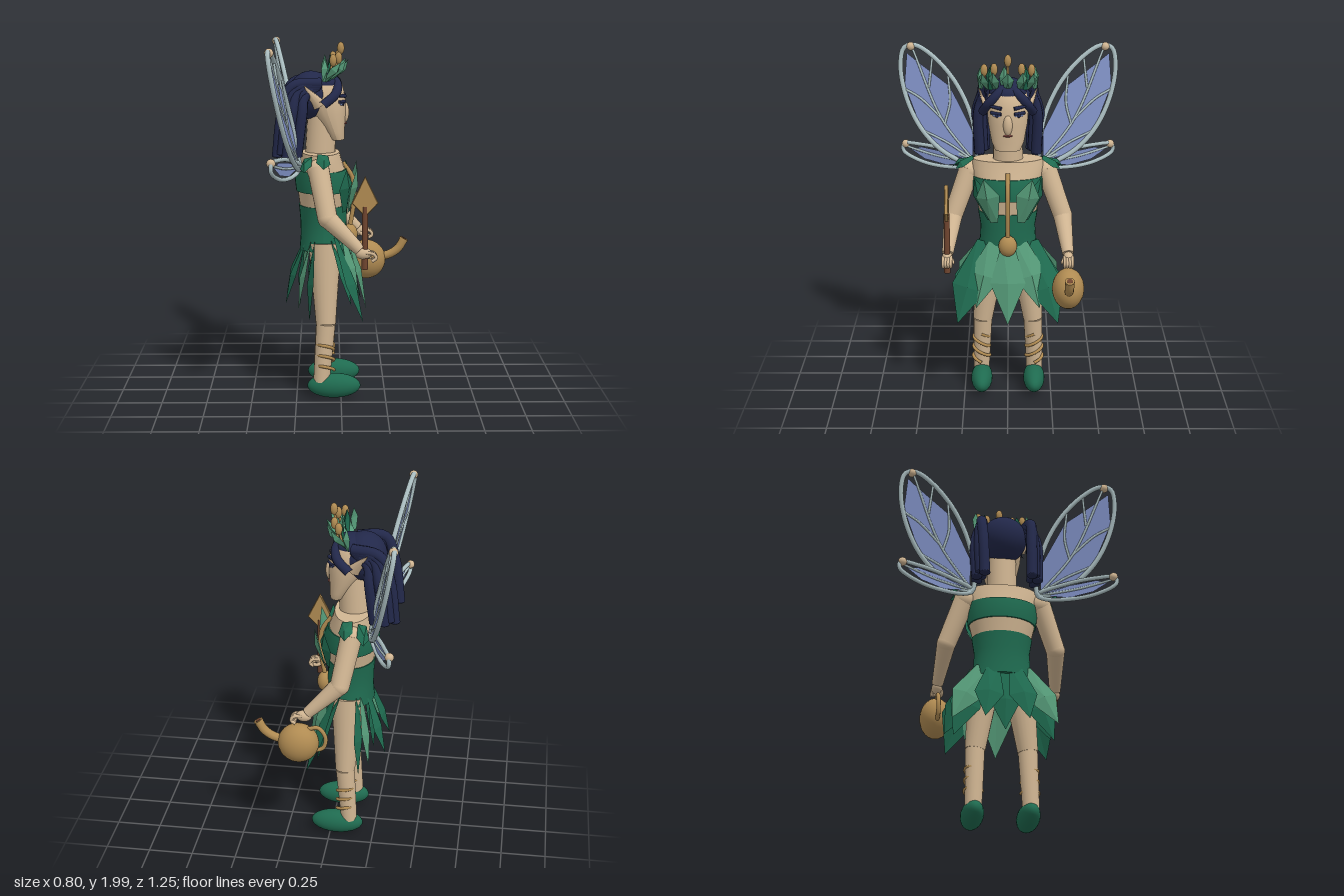
import * as THREE from 'three';

const mat = (name, color, side = THREE.FrontSide) => {
  const m = new THREE.MeshStandardMaterial({ color, side });
  m.name = name;
  return m;
};
const V = (x, y, z) => new THREE.Vector3(x, y, z);

export function createModel() {
  const skin = mat('skin', 0xd0b592), navy = mat('hair navy', 0x22284a), gold = mat('gold', 0xb08b52);
  const green = mat('deep green', 0x1f6b50), leafGreen = mat('leaf green', 0x559a78);
  const brown = mat('wood brown', 0x70452f), lip = mat('lip', 0x8a4a45);
  const frame = mat('wing frame', 0xa9bcbf), film = mat('wing film', 0x7f90c4, THREE.DoubleSide);
  const model = new THREE.Group();

  const add = (name, geo, m) => {
    const mesh = new THREE.Mesh(geo, m);
    mesh.name = name;
    model.add(mesh);
    return mesh;
  };
  const ball = (name, m, p, r) => {
    const b = add(name, new THREE.SphereGeometry(1, 24, 16), m);
    b.position.set(...p);
    b.scale.set(...r);
    return b;
  };
  // tapered round bar from a (radius ra) to b (radius rb)
  const limb = (name, m, a, b, ra, rb, seg = 20) => {
    const A = V(...a), B = V(...b), d = B.clone().sub(A);
    const c = add(name, new THREE.CylinderGeometry(rb, ra, d.length(), seg), m);
    c.position.copy(A).add(B).multiplyScalar(0.5);
    c.quaternion.setFromUnitVectors(V(0, 1, 0), d.normalize());
    return c;
  };
  const tube = (name, m, pts, r, n = 24, closed = false) => add(name, new THREE.TubeGeometry(
    new THREE.CatmullRomCurve3(pts.map(p => V(...p)), closed), n, r, 10, closed), m);
  // stack of elliptical rings, bottom to top: [y, centre x, radius x, radius z]
  const loft = (name, m, rings, seg = 28) => {
    const n = rings.length - 1, geo = new THREE.CylinderGeometry(1, 1, 1, seg, n), p = geo.attributes.position;
    for (let i = 0; i < p.count; i++) {
      const [y, cx, rx, rz] = rings[Math.round((p.getY(i) + 0.5) * n)];
      p.setXYZ(i, cx + p.getX(i) * rx, y, p.getZ(i) * rz);
    }
    geo.computeVertexNormals();
    return add(name, geo, m);
  };
  // folded, faceted leaf from base to tip, bulging towards 'out'
  const leaf = (name, m, base, tip, w, out, wide = 0.55, neck = 0.35, fold = 0.025) => {
    const B = V(...base), Y = V(...tip).sub(B), len = Y.length();
    Y.normalize();
    const X = Y.clone().cross(V(...out)).normalize(), Z = X.clone().cross(Y);
    const at = (u, v, d) => B.clone().addScaledVector(X, u).addScaledVector(Y, v * len).addScaledVector(Z, d);
    const rim = [at(-w * neck, 0, 0), at(w * neck, 0, 0), at(w, wide, 0), at(0, 1, 0), at(-w, wide, 0)];
    const f = at(0, wide, fold), b = at(0, wide, fold - 0.018), tris = [];
    rim.forEach((p, i) => {
      const q = rim[(i + 1) % 5];
      tris.push(p, q, f, q, p, b);
    });
    const geo = new THREE.BufferGeometry().setFromPoints(tris);
    geo.computeVertexNormals();
    return add(name, geo, m);
  };

  // Torso in bands of skin and cloth
  loft('hips', green, [[0.84, -0.1, 0.132, 0.17], [0.92, -0.097, 0.128, 0.16], [1.0, -0.097, 0.13, 0.155], [1.09, -0.1, 0.135, 0.17]]);
  loft('midriff', skin, [[1.09, -0.1, 0.13, 0.165], [1.18, -0.1, 0.143, 0.187]]);
  loft('chestBand', green, [[1.17, -0.1, 0.15, 0.192], [1.23, -0.102, 0.155, 0.2], [1.29, -0.107, 0.138, 0.2]]);
  loft('shoulders', skin, [[1.29, -0.107, 0.13, 0.198], [1.34, -0.11, 0.115, 0.205], [1.385, -0.112, 0.105, 0.195]]);

  // Neck, head and face
  limb('neck', skin, [-0.115, 1.36, 0], [-0.105, 1.6, 0], 0.085, 0.08);
  loft('head', skin, [[1.455, -0.02, 0.04, 0.07], [1.5, -0.035, 0.056, 0.09], [1.6, -0.07, 0.098, 0.11],
    [1.68, -0.09, 0.118, 0.117], [1.76, -0.1, 0.11, 0.105], [1.81, -0.11, 0.06, 0.06]]);
  ball('nose', skin, [0.022, 1.605, 0], [0.024, 0.058, 0.026]);
  ball('mouth', lip, [0.022, 1.545, 0], [0.012, 0.007, 0.026]);
  for (const s of [1, -1]) {
    const eye = ball('eye', film, [0.008, 1.66, s * 0.06], [0.006, 0.012, 0.03]);
    eye.rotation.y = -s * 0.45;
    limb('eyelid', navy, [0.022, 1.668, s * 0.035], [-0.008, 1.67, s * 0.093], 0.009, 0.009, 8);
    ball('pupil', navy, [0.013, 1.658, s * 0.06], [0.006, 0.012, 0.011]);
    limb('eyebrow', navy, [0.022, 1.698, s * 0.035], [-0.012, 1.705, s * 0.095], 0.011, 0.008, 8);
    const ear = limb('ear', skin, [-0.12, 1.655, s * 0.105], [-0.2, 1.765, s * 0.165], 0.04, 0.002, 10);
    ear.scale.z = 0.7;
  }

  // Hair: cap, crown of the head, parted fringe and two bunches of strands
  ball('hairCap', navy, [-0.165, 1.7, 0], [0.128, 0.135, 0.132]);
  ball('hairTop', navy, [-0.1, 1.765, 0], [0.105, 0.06, 0.105]);
  for (const s of [1, -1]) {
    tube('fringe', navy, [[-0.06, 1.805, s * 0.01], [-0.02, 1.765, s * 0.06], [-0.03, 1.715, s * 0.105], [-0.1, 1.655, s * 0.14]], 0.026);
    for (let i = 0; i < 5; i++) {
      const ex = -0.35 + i * 0.027, ez = s * (0.132 + 0.04 * ((i * 2) % 5) / 4);
      const y = 1.38 + (i % 2) * 0.015;
      tube('hairStrand', navy, [[-0.11 - 0.01 * i, 1.775 - i * 0.01, s * 0.1], [ex * 0.55 - 0.07, 1.76 - i * 0.015, s * 0.14],
        [ex + 0.03, 1.62, ez + s * 0.005], [ex, y, ez]], 0.03);
      ball('strandEnd', navy, [ex, y, ez], [0.03, 0.012, 0.03]);
    }
  }

  // Crown of leaves with golden buds
  [[0, 0, 1.96], [0.075, -0.013, 1.91], [0.13, -0.043, 1.9]].forEach(([z, x, y], i) => {
    for (const s of i ? [1, -1] : [1]) {
      const out = [1, 0, s * z * 6], top = Math.min(y, 1.91);
      leaf('crownLeaf', leafGreen, [x - 0.045, 1.785, s * z * 0.92], [x + 0.042, top - 0.01, s * z * 1.08], 0.034, out, 0.6, 0.4);
      leaf('crownBackLeaf', i === 1 ? green : leafGreen, [x - 0.05, 1.785, s * (z + 0.02)], [x - 0.045, top + 0.015, s * (z + 0.02)], 0.028, out, 0.55, 0.5);
      limb('budStem', gold, [x - 0.02, 1.82, s * z], [x, y, s * z], 0.007, 0.007, 8);
      ball('bud', gold, [x, y, s * z], [0.02, 0.034, 0.02]);
    }
  });

  // Legs, wraps and slippers
  for (const s of [1, -1]) {
    limb('thigh', skin, [-0.085, 0.43, s * 0.145], [-0.09, 0.88, s * 0.09], 0.056, 0.092);
    limb('shin', skin, [-0.11, 0.1, s * 0.155], [-0.085, 0.43, s * 0.145], 0.046, 0.054);
    ball('slipper', green, [-0.04, 0.075, s * 0.152], [0.15, 0.07, 0.062]);
    const wrap = [];
    for (let i = 0; i <= 36; i++) {
      const t = i / 36, a = t * Math.PI * 6, r = 0.049 - 0.004 * t;
      wrap.push([-0.088 + r * Math.cos(a), 0.165 + 0.18 * t + 0.015 * Math.sin(a), s * (0.153 + r * Math.sin(a))]);
    }
    tube('ankleWrap', gold, wrap, 0.009, 110);
  }

  // Skirt: broad petals fanned out in front, narrower ones behind
  leaf('frontPetal', leafGreen, [0.03, 0.935, 0], [0.145, 0.475, 0], 0.1, [1, 0.3, 0], 0.5, 0.3, 0.03);
  for (const s of [1, -1]) {
    leaf('innerPetal', leafGreen, [0.01, 0.92, s * 0.08], [0.1, 0.56, s * 0.18], 0.09, [1, 0.2, s * 0.25], 0.5, 0.35, 0.03);
    leaf('outerPetal', green, [-0.03, 0.92, s * 0.14], [0.12, 0.475, s * 0.285], 0.1, [1, 0.3, s * 0.25], 0.57, 0.35, 0.03);
    leaf('hipPetal', green, [-0.05, 0.9, s * 0.145], [0.055, 0.57, s * 0.3], 0.07, [1, 0.2, s * 0.2], 0.6, 0.4);
    leaf('rearSidePetal', green, [-0.15, 0.89, s * 0.13], [-0.175, 0.475, s * 0.275], 0.085, [-1, 0, s * 0.15], 0.55, 0.4);
    leaf('rearSidePetal', leafGreen, [-0.17, 0.89, s * 0.12], [-0.235, 0.55, s * 0.29], 0.08, [-1, 0, s * 0.15], 0.55, 0.4);
    leaf('rearPetal', green, [-0.2, 0.89, s * 0.06], [-0.31, 0.54, s * 0.12], 0.08, [-1, 0.1, s * 0.1], 0.55, 0.4);
  }
  leaf('rearPetal', green, [-0.2, 0.89, 0], [-0.23, 0.5, 0], 0.085, [-1, 0.1, 0], 0.55, 0.4);

  // Bodice and shoulder leaves
  for (const s of [1, -1]) {
    leaf('bodiceLeaf', leafGreen, [0.04, 1.05, s * 0.075], [0.09, 1.315, s * 0.135], 0.07, [1, 0.1, s * 0.3], 0.6, 0.3);
    leaf('bodiceLeaf', green, [0.02, 1.06, s * 0.1], [0.03, 1.31, s * 0.185], 0.058, [1, 0, s * 0.8], 0.6, 0.3);
    leaf('shoulderLeaf', green, [-0.1, 1.392, s * 0.195], [-0.095, 1.325, s * 0.295], 0.04, [0.2, 1, s * 0.3], 0.6, 0.7);
    leaf('shoulderLeaf', green, [-0.18, 1.375, s * 0.19], [-0.2, 1.31, s * 0.315], 0.035, [-0.4, 1, s * 0.3], 0.65, 0.7);
  }
  tube('pendantStem', gold, [[0.01, 1.325, 0], [0.065, 1.24, 0], [0.075, 1.12, 0], [0.05, 0.95, 0]], 0.013);
  ball('pendant', gold, [0.05, 0.915, 0], [0.045, 0.06, 0.052]);

  // Arms and hands
  for (const s of [1, -1]) {
    ball('shoulder', skin, [-0.125, 1.31, s * 0.215], [0.062, 0.06, 0.06]);
    limb('upperArm', skin, [-0.125, 1.32, s * 0.215], [-0.075, 1.06, s * 0.31], 0.06, 0.054);
    ball('elbow', skin, [-0.075, 1.06, s * 0.31], [0.054, 0.054, 0.054]);
    limb('forearm', skin, [-0.075, 1.06, s * 0.31], [0.1, 0.89, s * 0.336], 0.053, 0.032);
    ball('palm', skin, [0.12, 0.872, s * 0.338], [0.045, 0.032, 0.03]);
    for (let i = 0; i < 4; i++) {
      const z = s * (0.317 + i * 0.014);
      tube('finger', skin, [[0.13, 0.88, z], [0.175, 0.872, z], [0.188, 0.85, z], [0.165, 0.832, z]], 0.0095, 12);
    }
    tube('thumb', skin, [[0.11, 0.87, s * 0.32], [0.135, 0.85, s * 0.308], [0.165, 0.845, s * 0.312]], 0.011, 10);
  }

  // Wand with a flat diamond head
  limb('wandRod', brown, [0.128, 0.785, 0.338], [0.128, 1.13, 0.338], 0.018, 0.016, 12);
  const head = new THREE.Shape([[0.128, 1.29], [0.06, 1.15], [0.128, 1.08], [0.195, 1.15]].map(p => new THREE.Vector2(...p)));
  add('wandHead', new THREE.ExtrudeGeometry(head, { depth: 0.014, bevelEnabled: true, bevelSize: 0.004, bevelThickness: 0.004, bevelSegments: 1 }), gold)
    .position.z = 0.331;

  // Watering pot
  ball('potBody', gold, [0.152, 0.7, -0.338], [0.115, 0.115, 0.09]);
  tube('potSpout', gold, [[0.22, 0.71, -0.338], [0.3, 0.735, -0.338], [0.345, 0.77, -0.338], [0.375, 0.822, -0.338]], 0.025);
  const rim = limb('spoutRim', gold, [0.37, 0.813, -0.338], [0.376, 0.824, -0.338], 0.026, 0.026);
  rim.scale.z = 1.02;
  limb('spoutMouth', brown, [0.372, 0.818, -0.338], [0.3765, 0.8255, -0.338], 0.016, 0.016);
  tube('potHandle', gold, [[0.1, 0.79, -0.338], [0.04, 0.8, -0.338], [0.0, 0.74, -0.338], [0.015, 0.675, -0.338], [0.065, 0.655, -0.338]], 0.012);

  // Wings, described by width and height and swept backwards
  const upperRim = [[0.19, 1.32], [0.35, 1.37], [0.49, 1.5], [0.58, 1.68], [0.612, 1.86], [0.59, 1.96], [0.53, 1.975], [0.42, 1.91], [0.29, 1.76], [0.2, 1.55]];
  const upperFilm = [[0.2, 1.33], [0.4, 1.39], [0.5, 1.52], [0.59, 1.75], [0.575, 1.93], [0.51, 1.88], [0.33, 1.75], [0.2, 1.5]];
  const lowerRim = [[0.18, 1.33], [0.35, 1.385], [0.5, 1.405], [0.6, 1.4], [0.605, 1.36], [0.5, 1.305], [0.35, 1.285], [0.22, 1.3]];
  const lowerFilm = [[0.2, 1.325], [0.35, 1.37], [0.5, 1.39], [0.56, 1.37], [0.48, 1.32], [0.35, 1.295]];
  const upperVeins = [[[0.2, 1.34], [0.38, 1.57], [0.54, 1.95]], [[0.2, 1.34], [0.34, 1.43], [0.49, 1.5]],
    [[0.38, 1.57], [0.5, 1.68], [0.59, 1.73]], [[0.36, 1.54], [0.33, 1.66], [0.34, 1.81]], [[0.45, 1.74], [0.44, 1.82], [0.43, 1.91]]];
  const lowerVeins = [[[0.2, 1.325], [0.4, 1.345], [0.58, 1.385]]];
  const wing = (name, s, outline, sheet, veins, r, sweep, lean) => {
    const place = ([z, y]) => [-0.23 - sweep * (z - 0.2) - lean * (y - 1.33), y, s * z];
    const geo = new THREE.ShapeGeometry(new THREE.Shape(sheet.map(p => new THREE.Vector2(...p)))), p = geo.attributes.position;
    for (let i = 0; i < p.count; i++) p.setXYZ(i, ...place([p.getX(i), p.getY(i)]));
    geo.computeVertexNormals();
    add(name + 'Film', geo, film);
    tube(name + 'Frame', frame, outline.map(place), r, 80, true);
    veins.forEach(v => tube(name + 'Vein', frame, v.map(place), 0.007, 14));
  };
  for (const s of [1, -1]) {
    wing('upperWing', s, upperRim, upperFilm, upperVeins, 0.014, 0.12, 0.165);
    wing('lowerWing', s, lowerRim, lowerFilm, lowerVeins, 0.012, 0.34, 0);
    ball('upperWingBead', skin, [-0.375, 1.968, s * 0.552], [0.024, 0.024, 0.024]);
    ball('lowerWingBead', skin, [-0.368, 1.4, s * 0.59], [0.024, 0.024, 0.024]);
  }
  return model;
}
